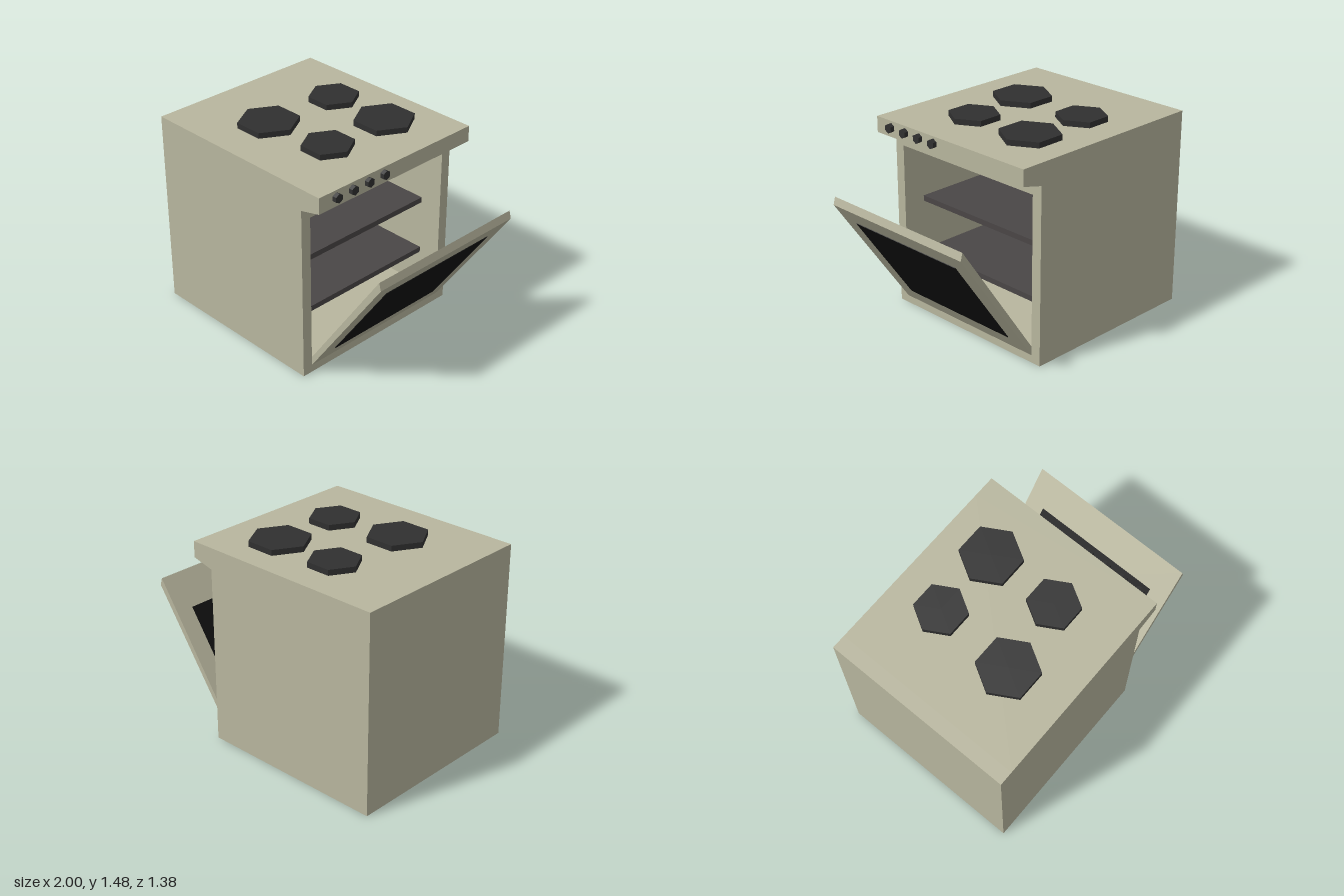
import * as THREE from 'three';

const enamel = new THREE.MeshStandardMaterial({ color: 0xb8b69e });
const iron = new THREE.MeshStandardMaterial({ color: 0x303030, flatShading: true });
const rack = new THREE.MeshStandardMaterial({ color: 0x4a4646 });
const glass = new THREE.MeshStandardMaterial({ color: 0x111111 });

const toShape = (points) => new THREE.Shape(points.map(([x, y]) => new THREE.Vector2(x, y)));

// Side profile in x and y, extruded evenly to both sides along z
function profile(points, width) {
  const g = new THREE.ExtrudeGeometry(toShape(points), { depth: width, bevelEnabled: false });
  return g.translate(0, 0, -width / 2);
}

// Six-sided disc with corners on the x axis
const hexDisc = (r, h) => new THREE.CylinderGeometry(r, r, h, 6).rotateY(Math.PI / 6);

export function createModel() {
  const stove = new THREE.Group();
  stove.name = 'stove';
  const add = (name, geometry, material, parent = stove) => {
    const mesh = new THREE.Mesh(geometry, material);
    mesh.name = name;
    parent.add(mesh);
    return mesh;
  };

  // Cabinet: a frame around the oven cavity, closed by a back panel
  const frame = toShape([[-0.69, 0], [0.69, 0], [0.69, 1.435], [-0.69, 1.435]]);
  frame.holes.push(toShape([[-0.615, 0.06], [-0.615, 1.2], [0.615, 1.2], [0.615, 0.06]]));
  const shell = new THREE.ExtrudeGeometry(frame, { depth: 1.28, bevelEnabled: false });
  add('cabinet', shell.rotateY(Math.PI / 2).translate(-0.9, 0, 0), enamel);
  add('backPanel', new THREE.BoxGeometry(0.1, 1.435, 1.38).translate(-0.95, 0.7175, 0), enamel);

  // Overhanging control panel
  add('controlPanel', profile([[0.38, 1.28], [0.54, 1.32], [0.54, 1.435], [0.38, 1.435]], 1.38), enamel);

  // Oven shelves
  for (const y of [0.35, 0.76]) {
    add('shelf', new THREE.BoxGeometry(1.11, 0.04, 1.23), rack).position.set(-0.345, y, 0);
  }

  // Half-open door with a dark window showing on both sides
  const door = new THREE.Group();
  door.name = 'door';
  stove.add(door);
  add('doorPanel', profile([[0.38, 0.055], [1, 0.945], [0.985, 1], [0.38, 0.12]], 1.23), enamel, door);
  add('doorWindow', profile([[0.464, 0.168], [0.924, 0.828], [0.886, 0.855], [0.426, 0.195]], 0.96), glass, door);

  // Hotplates: x, z, radius
  for (const [x, z, r] of [[-0.38, -0.328, 0.18], [0.107, -0.325, 0.213], [-0.405, 0.25, 0.213], [0.107, 0.197, 0.18]]) {
    add('hotplate', hexDisc(r, 0.04), iron).position.set(x, 1.455, z);
  }

  // Control knobs
  for (const z of [0.545, 0.405, 0.266, 0.127]) {
    add('knob', hexDisc(0.033, 0.03).rotateZ(-Math.PI / 2), iron).position.set(0.555, 1.387, z);
  }
  return stove;
}
